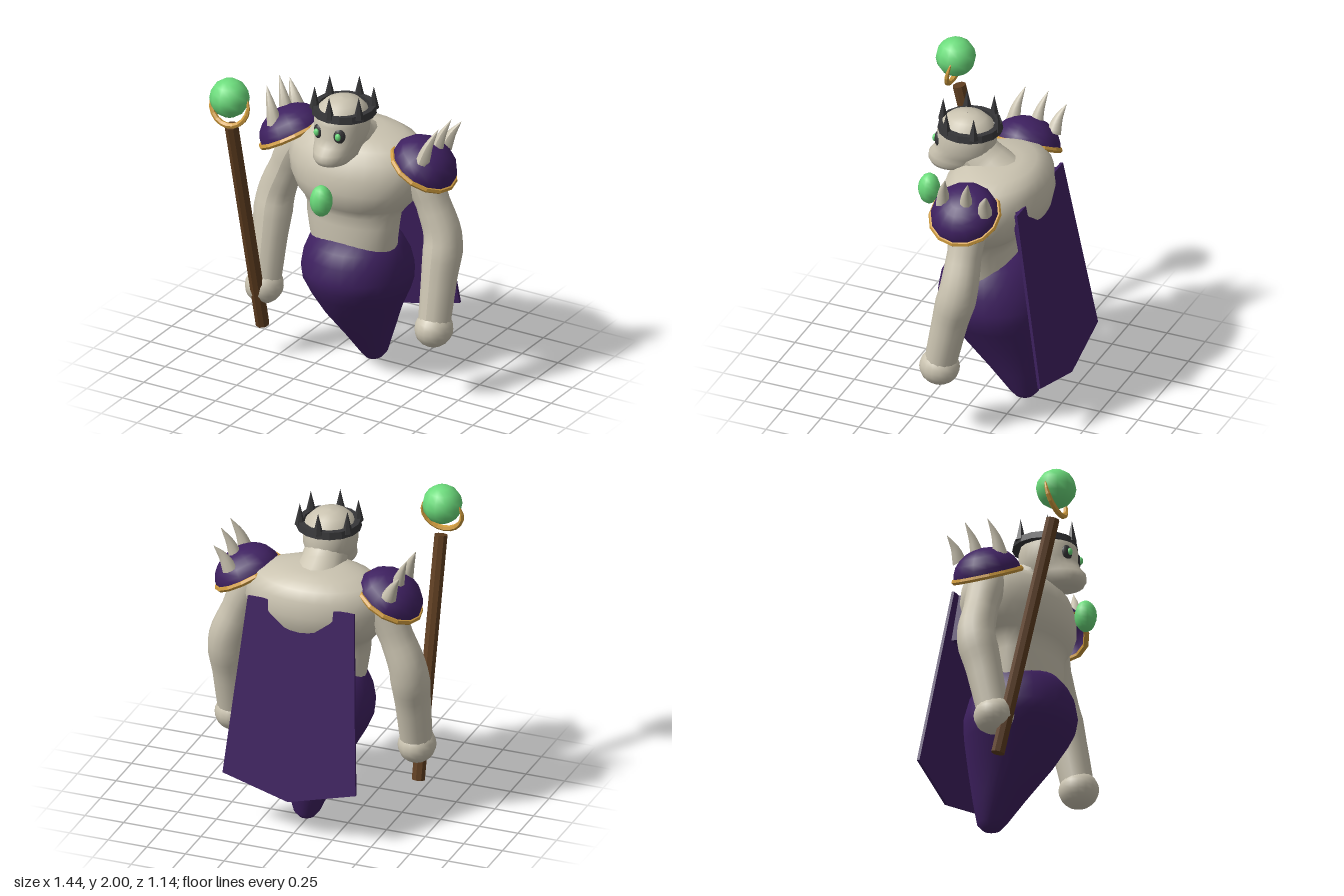
import * as THREE from 'three';

const mat = (name, color, extra = {}) => {
  const m = new THREE.MeshStandardMaterial({ color, ...extra });
  m.name = name;
  return m;
};

// Stack of elliptical rings, each given as [y, halfWidth, frontZ, backZ]
function loft(sections, sides = 28) {
  const pos = [], idx = [];
  for (const [y, rx, front, back] of sections) {
    for (let j = 0; j < sides; j++) {
      const a = (j / sides) * Math.PI * 2;
      pos.push(Math.sin(a) * rx, y, (front + back) / 2 + Math.cos(a) * (front - back) / 2);
    }
  }
  for (let i = 0; i < sections.length - 1; i++) {
    for (let j = 0; j < sides; j++) {
      const k = (j + 1) % sides;
      const a = i * sides + j, b = i * sides + k;
      idx.push(a, b, b + sides, a, b + sides, a + sides);
    }
  }
  const g = new THREE.BufferGeometry();
  g.setAttribute('position', new THREE.Float32BufferAttribute(pos, 3));
  g.setIndex(idx);
  g.computeVertexNormals();
  return g;
}

// Tube along a curve whose radius follows a list of values
function taperTube(points, radii, sides = 8, segments = 12) {
  const curve = new THREE.CatmullRomCurve3(points.map(p => new THREE.Vector3(...p)));
  const g = new THREE.TubeGeometry(curve, segments, 1, sides);
  const p = g.attributes.position, v = new THREE.Vector3();
  for (let i = 0; i <= segments; i++) {
    const c = curve.getPointAt(i / segments);
    const f = (i / segments) * (radii.length - 1);
    const n = Math.min(Math.floor(f), radii.length - 2);
    const r = THREE.MathUtils.lerp(radii[n], radii[n + 1], f - n);
    for (let j = 0; j <= sides; j++) {
      const k = i * (sides + 1) + j;
      v.fromBufferAttribute(p, k).sub(c).multiplyScalar(r).add(c);
      p.setXYZ(k, v.x, v.y, v.z);
    }
  }
  g.computeVertexNormals();
  return g;
}

export function createModel() {
  const bone = mat('pale skin', 0xcbc4b1);
  const purple = mat('purple cloth', 0x3e2060, { side: THREE.DoubleSide });
  const gold = mat('gold trim', 0xd09c3e, { flatShading: true });
  const wood = mat('brown wood', 0x5f3e20, { flatShading: true });
  const green = mat('green gem', 0x6cdc7c);
  const iron = mat('dark iron', 0x363638, { flatShading: true });

  const root = new THREE.Group();
  const model = new THREE.Group();
  model.name = 'figure';
  model.position.x = 0.01;
  root.add(model);
  const add = (name, geo, material, pos = [0, 0, 0], parent = model) => {
    const m = new THREE.Mesh(geo, material);
    m.name = name;
    m.position.set(...pos);
    parent.add(m);
    return m;
  };
  const ball = (name, material, pos, scale, parent, w = 16, h = 12) => {
    const m = add(name, new THREE.SphereGeometry(1, w, h), material, pos, parent);
    m.scale.set(...scale);
    return m;
  };

  // Robe tapering to a tail
  add('robeTail', loft([
    [0, 0.001, -0.259, -0.261], [0.012, 0.05, -0.2, -0.315], [0.05, 0.08, -0.165, -0.35],
    [0.2, 0.14, -0.04, -0.375], [0.4, 0.225, 0.135, -0.4], [0.55, 0.305, 0.225, -0.41],
    [0.63, 0.337, 0.265, -0.412], [0.7, 0.343, 0.277, -0.41], [0.8, 0.325, 0.26, -0.38],
    [0.88, 0.292, 0.22, -0.33], [0.94, 0.245, 0.17, -0.275], [0.98, 0.15, 0.02, -0.2],
    [0.985, 0.001, -0.09, -0.092]]), purple);

  // Torso with waist, chest and humped back
  add('torso', loft([
    [0.8, 0.27, 0.16, -0.24], [0.93, 0.288, 0.17, -0.21], [1.05, 0.307, 0.17, -0.2],
    [1.12, 0.313, 0.172, -0.22], [1.17, 0.345, 0.195, -0.28], [1.22, 0.39, 0.228, -0.345],
    [1.3, 0.435, 0.245, -0.395], [1.4, 0.455, 0.238, -0.41], [1.5, 0.44, 0.205, -0.395],
    [1.56, 0.37, 0.15, -0.36], [1.6, 0.27, 0.09, -0.31], [1.62, 0.15, 0.03, -0.23],
    [1.625, 0.001, -0.1, -0.102]]), bone);
  add('neck', taperTube([[0, 1.5, -0.08], [0, 1.58, 0], [0, 1.66, 0.09]], [0.17, 0.14, 0.13], 16), bone);

  // Head with jutting muzzle
  add('head', loft([
    [1.498, 0.001, 0.251, 0.249], [1.503, 0.06, 0.31, 0.18], [1.52, 0.1, 0.345, 0.1],
    [1.55, 0.128, 0.362, 0.01], [1.59, 0.134, 0.358, -0.035], [1.63, 0.145, 0.325, -0.055],
    [1.68, 0.163, 0.302, -0.065], [1.76, 0.165, 0.3, -0.065], [1.82, 0.15, 0.28, -0.045],
    [1.865, 0.105, 0.23, 0], [1.885, 0.05, 0.17, 0.06], [1.89, 0.001, 0.116, 0.114]]), bone);
  for (const s of [-1, 1]) {
    ball('eyeSocket', iron, [s * 0.073, 1.71, 0.275], [0.037, 0.048, 0.022]).rotation.y = s * 0.4;
    ball('eye', green, [s * 0.074, 1.712, 0.296], [0.019, 0.024, 0.015], model, 10, 8);
  }

  // Crown: squared ring with six spikes
  const crown = new THREE.Group();
  crown.name = 'crown';
  crown.position.set(0, 1.81, 0.095);
  model.add(crown);
  const ring = [[0.155, -0.022], [0.198, -0.022], [0.19, 0.022], [0.155, 0.022], [0.155, -0.022]];
  add('crownRing', new THREE.LatheGeometry(ring.map(p => new THREE.Vector2(...p)), 16), iron, [0, 0, 0], crown);
  for (let i = 0; i < 6; i++) {
    const a = (i * Math.PI) / 3;
    add('crownSpike', new THREE.ConeGeometry(0.032, 0.14, 6), iron,
      [Math.sin(a) * 0.178, 0.07, Math.cos(a) * 0.178], crown);
  }

  // Chest gem
  ball('chestGem', green, [0, 1.3, 0.365], [0.07, 0.1, 0.068], model, 10, 10);

  // Arms and horned shoulder guards, mirrored
  for (const s of [-1, 1]) {
    add('arm', taperTube([[s * 0.36, 1.5, -0.1], [s * 0.45, 1.36, -0.09], [s * 0.52, 1.2, -0.09],
      [s * 0.583, 1.02, -0.085], [s * 0.59, 0.78, -0.03], [s * 0.59, 0.47, 0.035]],
      [0.12, 0.115, 0.105, 0.114, 0.122, 0.11, 0.104, 0.098], 14, 21), bone);
    ball('hand', bone, [s * 0.592, 0.46, 0.037], [0.116, 0.114, 0.124]);

    const pad = new THREE.Group();
    pad.name = 'shoulderGuard';
    pad.position.set(s * 0.457, 1.467, -0.07);
    pad.rotation.z = -s * 0.515;
    model.add(pad);
    const dome = add('shoulderDome', new THREE.SphereGeometry(0.21, 14, 6, 0, Math.PI * 2, 0, Math.PI / 2),
      purple, [0, 0, 0], pad);
    dome.scale.y = 0.8;
    add('shoulderTrim', new THREE.TorusGeometry(0.208, 0.018, 6, 14), gold, [0, 0, 0], pad).rotation.x = Math.PI / 2;

    for (const [z, top] of [[0.035, 1.77], [-0.115, 1.775], [-0.235, 1.712]]) {
      const h = top - 1.55;
      add('shoulderHorn', taperTube([[s * 0.515, 1.55, z + 0.01], [s * 0.55, 1.55 + h * 0.5, z - 0.004],
        [s * 0.6, top, z - 0.037]], [0.048, 0.036, 0.02, 0.001], 8, 8), bone);
    }
  }

  // Cape: thin panel with a pointed hem, leaning back
  const outline = [[-0.343, 0], [-0.43, -1.13], [0, -1.243], [0.43, -1.13], [0.343, 0]];
  const cape = add('cape', new THREE.ExtrudeGeometry(
    new THREE.Shape(outline.map(p => new THREE.Vector2(...p))), { depth: 0.018, bevelEnabled: false }),
    purple, [0, 1.465, -0.362]);
  cape.rotation.x = 0.17;
  add('capeLining', new THREE.BoxGeometry(0.58, 0.29, 0.04), purple, [0, 1.31, -0.345]).rotation.x = 0.17;

  // Staff with crescent and orb
  const staff = new THREE.Group();
  staff.name = 'staff';
  staff.position.x = -0.59;
  model.add(staff);
  add('staffShaft', new THREE.CylinderGeometry(0.042, 0.042, 1.52, 8), wood, [0, 0.945, 0.245], staff)
    .rotation.x = Math.atan2(0.37, 1.49);
  const arc = [];
  for (let i = 0; i <= 10; i++) {
    const a = -Math.PI / 2 + (i / 5 - 1) * 2.25;
    arc.push([Math.cos(a) * 0.128, Math.sin(a) * 0.128, 0]);
  }
  add('staffCrescent', taperTube(arc, [0.002, 0.015, 0.018, 0.018, 0.015, 0.002], 6, 14), gold,
    [0, 1.828, 0.447], staff).rotation.x = -0.23;
  ball('staffOrb', green, [0, 1.878, 0.45], [0.122, 0.122, 0.122], staff, 12, 8);

  return root;
}
